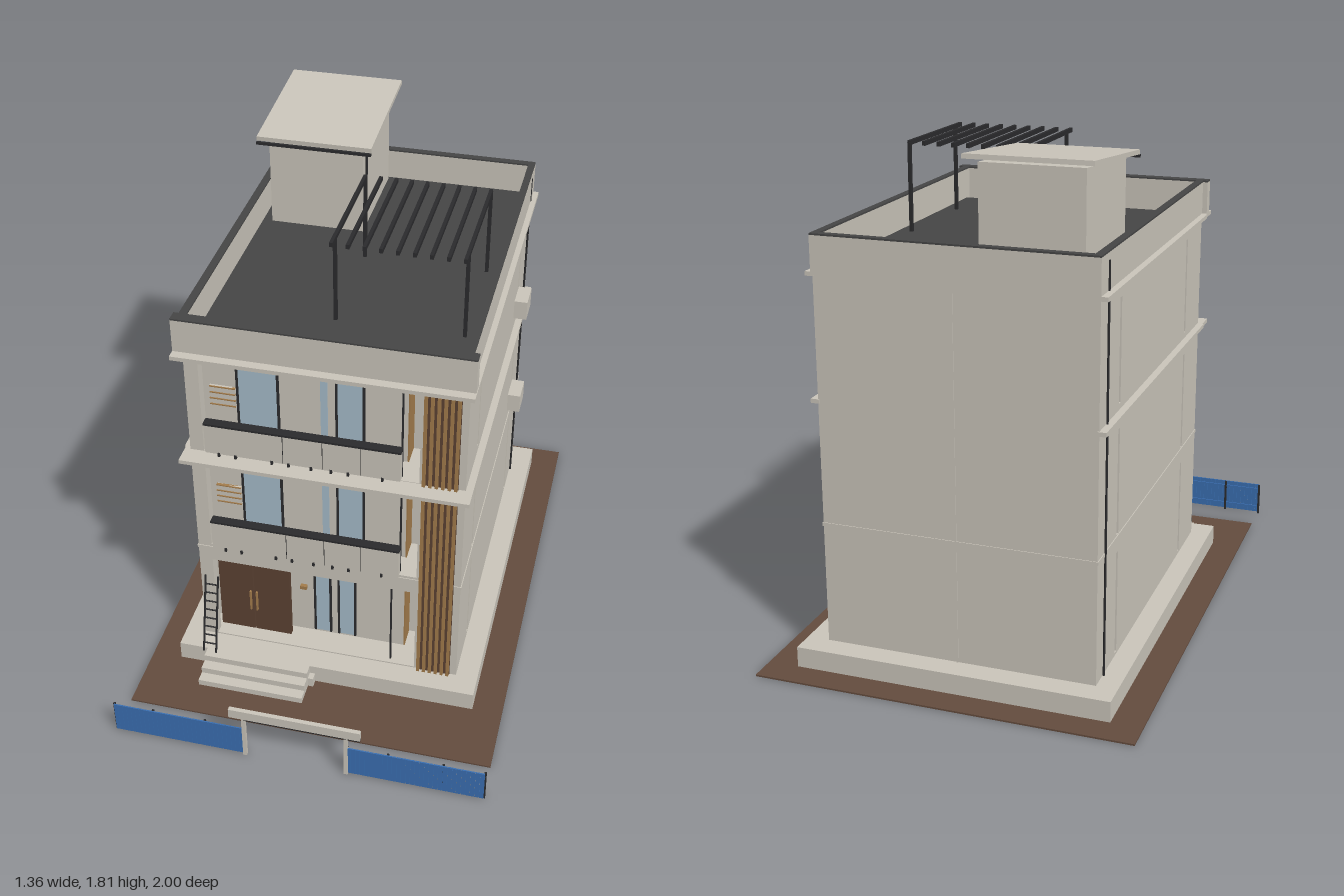
import * as THREE from 'three';

const mat = (name, color) => Object.assign(new THREE.MeshStandardMaterial({ color }), { name });
const M = {
  wall: mat('plaster', 0xcbc6bb),
  dark: mat('dark metal', 0x2b2b2d),
  roof: mat('roof grey', 0x464646),
  glass: mat('glass', 0xa6bccb),
  wood: mat('slat wood', 0xa37c4c),
  brown: mat('dark wood', 0x5c4333),
  blue: mat('fence blue', 0x3a6fb2),
  soil: mat('soil', 0x644c3e),
};

// Box given by its limits on each axis
function box(parent, name, m, x0, x1, y0, y1, z0, z1) {
  const mesh = new THREE.Mesh(new THREE.BoxGeometry(x1 - x0, y1 - y0, z1 - z0), m);
  mesh.position.set((x0 + x1) / 2, (y0 + y1) / 2, (z0 + z1) / 2);
  mesh.name = name;
  parent.add(mesh);
  return mesh;
}

// Wall panel in the xy plane with rectangular openings [x0, x1, y0, y1]
function pierced(x0, x1, y0, y1, depth, holes) {
  const rect = (P, a, b, c, d) => {
    const p = new P();
    p.moveTo(a, c); p.lineTo(b, c); p.lineTo(b, d); p.lineTo(a, d); p.closePath();
    return p;
  };
  const s = rect(THREE.Shape, x0, x1, y0, y1);
  holes.forEach(h => s.holes.push(rect(THREE.Path, ...h)));
  return new THREE.ExtrudeGeometry(s, { depth, bevelEnabled: false });
}

function group(parent, name) {
  const g = new THREE.Group();
  g.name = name;
  parent.add(g);
  return g;
}

// Round or square bar between two points
function bar(parent, name, m, a, b, r) {
  const A = new THREE.Vector3(...a), B = new THREE.Vector3(...b);
  const mesh = new THREE.Mesh(new THREE.CylinderGeometry(r, r, A.distanceTo(B), 8), m);
  mesh.position.copy(A).add(B).multiplyScalar(0.5);
  mesh.quaternion.setFromUnitVectors(new THREE.Vector3(0, 1, 0), B.clone().sub(A).normalize());
  mesh.name = name;
  parent.add(mesh);
}

function buildShell(g) {
  // Front wall with one large opening per storey
  const front = new THREE.Mesh(pierced(-0.49, 0.485, 0.08, 1.39, 0.035,
    [[-0.44, 0.325, 0.085, 0.46], [-0.44, 0.325, 0.535, 0.9], [-0.44, 0.325, 0.97, 1.34]]), M.wall);
  front.position.z = 0.48;
  front.name = 'frontWall';
  g.add(front);

  // Side walls with narrow slit windows (panel x runs towards -z)
  const slits = [];
  for (const z of [0.29, -0.59])
    for (const [a, b] of [[0.09, 0.463], [0.528, 0.902], [0.99, 1.347]])
      slits.push([-z - 0.01, -z + 0.01, a, b]);
  for (const x of [-0.49, 0.46]) {
    const side = new THREE.Mesh(pierced(-0.48, 0.815, 0.08, 1.39, 0.025, slits), M.wall);
    side.rotation.y = Math.PI / 2;
    side.position.x = x;
    side.name = 'sideWall';
    g.add(side);
  }
  box(g, 'backWall', M.wall, -0.465, 0.46, 0.08, 1.39, -0.815, -0.79);
  for (const y of [0.5, 0.945]) box(g, 'floorSlab', M.wall, -0.465, 0.46, y, y + 0.025, -0.79, 0.48);

  // Projecting ledges and thin floor joints
  for (const y of [0.953, 1.388]) {
    box(g, 'frontLedge', M.wall, -0.51, 0.51, y, y + 0.015, 0.5, 0.585);
    for (const s of [-0.5, 0.495]) box(g, 'sideLedge', M.wall, s - 0.015, s + 0.015, y, y + 0.015, -0.82, 0.5);
  }
  box(g, 'floorJoint', M.wall, -0.493, 0.488, 0.512, 0.525, -0.818, 0.518);
  box(g, 'backJoint', M.wall, -0.003, 0.003, 0.08, 1.39, -0.818, -0.81);

  // Corner drainpipes and air units
  for (const x of [-0.494, 0.489]) bar(g, 'drainpipe', M.dark, [x, 0.08, -0.74], [x, 1.5, -0.74], 0.004);
  for (const y of [0.575, 1.02]) box(g, 'airUnit', M.wall, 0.485, 0.535, y, y + 0.077, -0.605, -0.495);

  // Vertical wooden screen on the front corner
  box(g, 'screenBack', M.brown, 0.335, 0.46, 0.08, 1.388, 0.515, 0.519);
  for (let i = 0; i < 6; i++) {
    const x = 0.336 + i * 0.0222;
    box(g, 'screenSlat', M.wood, x, x + 0.011, 0.08, 1.388, 0.517, 0.53);
  }
}

// Recessed storey front behind each opening
function buildFacade(g, y0, y1, upper) {
  const z = 0.41;
  box(g, 'facade', M.wall, -0.465, 0.262, y0, y1 + 0.04, z - 0.03, z);
  box(g, 'recessBack', M.wall, 0.262, 0.46, y0, y1 + 0.04, 0.31, 0.33);
  box(g, 'recessCladding', M.wood, 0.262, 0.267, y0, y1, 0.33, z);
  const panes = upper ? [[-0.34, -0.195], [-0.045, -0.02], [0.012, 0.108]] : [[-0.08, -0.02], [0.012, 0.075]];
  for (const [a, b] of panes) {
    box(g, 'windowPane', M.glass, a, b, y0 + 0.01, y1, z, z + 0.004);
    if (b - a < 0.03) continue;
    for (const x of [a, b]) box(g, 'windowFrame', M.dark, x - 0.004, x + 0.004, y0 + 0.01, y1, z, z + 0.008);
  }
  const px = upper ? 0.26 : 0.23;
  box(g, 'frontPost', M.dark, px - 0.003, px + 0.003, y0, y1, 0.49, 0.496);
  if (!upper) return;

  // Stair flight seen beside the window
  const top = y0 + 0.215;
  box(g, 'stairPanel', M.wall, -0.44, -0.347, y0, top, z, z + 0.008);
  for (let i = 0; i < 4; i++)
    box(g, 'stairTread', M.wood, -0.44, -0.347, top - i * 0.025 - 0.004, top - i * 0.025, z, z + 0.012);

  // Balcony
  box(g, 'balconyFront', M.wall, -0.43, 0.262, y0 + 0.008, y0 + 0.125, 0.5, 0.53);
  box(g, 'balconyRail', M.dark, -0.432, 0.264, y0 + 0.125, y0 + 0.133, 0.498, 0.532);
  for (const x of [-0.15, -0.01, 0.125])
    box(g, 'balconyJoint', M.dark, x - 0.001, x + 0.001, y0 + 0.01, y0 + 0.125, 0.53, 0.531);
  for (const x of [-0.38, -0.32, -0.19, -0.13, -0.05, 0.02, 0.08, 0.2])
    box(g, 'balconyBracket', M.dark, x - 0.004, x + 0.004, y0, y0 + 0.014, 0.525, 0.535);
}

function buildEntrance(g) {
  // Double door with handles and transom
  for (const [a, b] of [[-0.44, -0.308], [-0.304, -0.165]]) box(g, 'doorLeaf', M.brown, a, b, 0.085, 0.43, 0.44, 0.46);
  box(g, 'transom', M.dark, -0.3, -0.165, 0.43, 0.46, 0.44, 0.455);
  for (const x of [-0.318, -0.294]) box(g, 'doorHandle', M.wood, x - 0.003, x + 0.003, 0.19, 0.28, 0.46, 0.47);
  box(g, 'wallLamp', M.wood, -0.135, -0.11, 0.295, 0.31, 0.41, 0.425);
  // Front steps
  for (let i = 0; i < 3; i++)
    box(g, 'entryStep', M.wall, -0.455, -0.055, 0.005, 0.03 + i * 0.025, 0.59, 0.72 - i * 0.04);
  box(g, 'stepCheek', M.wall, -0.058, -0.035, 0.005, 0.045, 0.6, 0.63);
  // Leaning ladder
  for (const x of [-0.465, -0.417]) bar(g, 'ladderRail', M.dark, [x, 0.08, 0.615], [x, 0.395, 0.535], 0.004);
  for (let i = 1; i < 9; i++) {
    const t = i / 9, y = 0.08 + 0.315 * t, z = 0.615 - 0.08 * t;
    bar(g, 'ladderRung', M.dark, [-0.465, y, z], [-0.417, y, z], 0.003);
  }
}

function buildRoof(g) {
  box(g, 'roofDeckEdge', M.wall, -0.49, 0.485, 1.38, 1.4, -0.815, 0.52);
  box(g, 'roofDeck', M.roof, -0.47, 0.465, 1.4, 1.41, -0.8, 0.485);
  // Parapet with dark capping
  const runs = [[-0.51, 0.508, 0.512, 0.552], [-0.465, 0.465, -0.82, -0.793],
    [-0.492, -0.465, -0.82, 0.512], [0.465, 0.49, -0.82, 0.512]];
  for (const [a, b, c, d] of runs) {
    box(g, 'parapet', M.wall, a, b, 1.39, 1.524, c, d);
    box(g, 'parapetCap', M.roof, a, b, 1.524, 1.53, c, d);
  }
  // Stair house with a sloping roof
  const house = box(g, 'stairHouse', M.wall, -0.43, -0.08, 1.4, 1.785, -0.78, -0.35);
  const p = house.geometry.attributes.position;
  for (let i = 0; i < p.count; i++) if (p.getY(i) > 0 && p.getZ(i) > 0) p.setY(i, p.getY(i) - 0.03);
  house.geometry.computeVertexNormals();
  const lid = box(g, 'stairHouseRoof', M.wall, -0.465, -0.04, 1.777, 1.793, -0.815, -0.31);
  lid.rotation.x = 0.083;
  box(g, 'roofGutter', M.dark, -0.465, -0.04, 1.745, 1.755, -0.31, -0.3);
  bar(g, 'gutterPipe', M.dark, [-0.055, 1.41, -0.303], [-0.055, 1.75, -0.303], 0.004);

  // Pergola
  for (const x of [-0.03, 0.415])
    for (const z of [0.25, -0.178])
      box(g, 'pergolaPost', M.dark, x - 0.006, x + 0.006, 1.41, 1.73, z - 0.006, z + 0.006);
  for (let i = 0; i < 9; i++) {
    const x = -0.03 + i * 0.0556;
    box(g, 'pergolaBeam', M.dark, x - 0.006, x + 0.006, 1.722, 1.738, -0.182, 0.303);
  }
}

function buildFence(g) {
  for (const [a, b] of [[-0.677, -0.19], [0.185, 0.675]]) {
    const n = 30, w = (b - a) / n;
    for (let i = 0; i < n; i++)
      box(g, 'fencePicket', M.blue, a + i * w, a + (i + 0.94) * w, 0.005, 0.13, 0.988, 0.993);
    for (const y of [0.025, 0.105]) box(g, 'fenceRail', M.blue, a, b, y, y + 0.008, 0.983, 0.988);
    for (const t of [0, 0.3, 0.7, 1]) {
      const x = a + (b - a) * t;
      box(g, 'fencePost', M.dark, x - 0.004, x + 0.004, 0, 0.13, 0.98, 0.987);
    }
  }
  // Gateway
  for (const x of [-0.188, 0.183]) box(g, 'gatePost', M.wall, x - 0.007, x + 0.007, 0, 0.185, 0.985, 0.998);
  box(g, 'gateBeam', M.wall, -0.24, 0.235, 0.187, 0.225, 0.984, 1);
  box(g, 'gateBeamTrim', M.dark, -0.19, 0.235, 0.18, 0.187, 0.985, 0.998);
}

export function createModel() {
  const model = new THREE.Group();
  model.name = 'house';
  box(model, 'ground', M.soil, -0.675, 0.675, 0, 0.006, -1, 0.85);
  box(model, 'plinth', M.wall, -0.565, 0.565, 0.006, 0.08, -0.9, 0.6);
  buildShell(group(model, 'shell'));
  buildFacade(group(model, 'groundFacade'), 0.08, 0.46, false);
  buildFacade(group(model, 'firstFloorFacade'), 0.527, 0.9, true);
  buildFacade(group(model, 'secondFloorFacade'), 0.968, 1.34, true);
  buildEntrance(group(model, 'entrance'));
  buildRoof(group(model, 'roofTop'));
  buildFence(group(model, 'fence'));
  return model;
}
